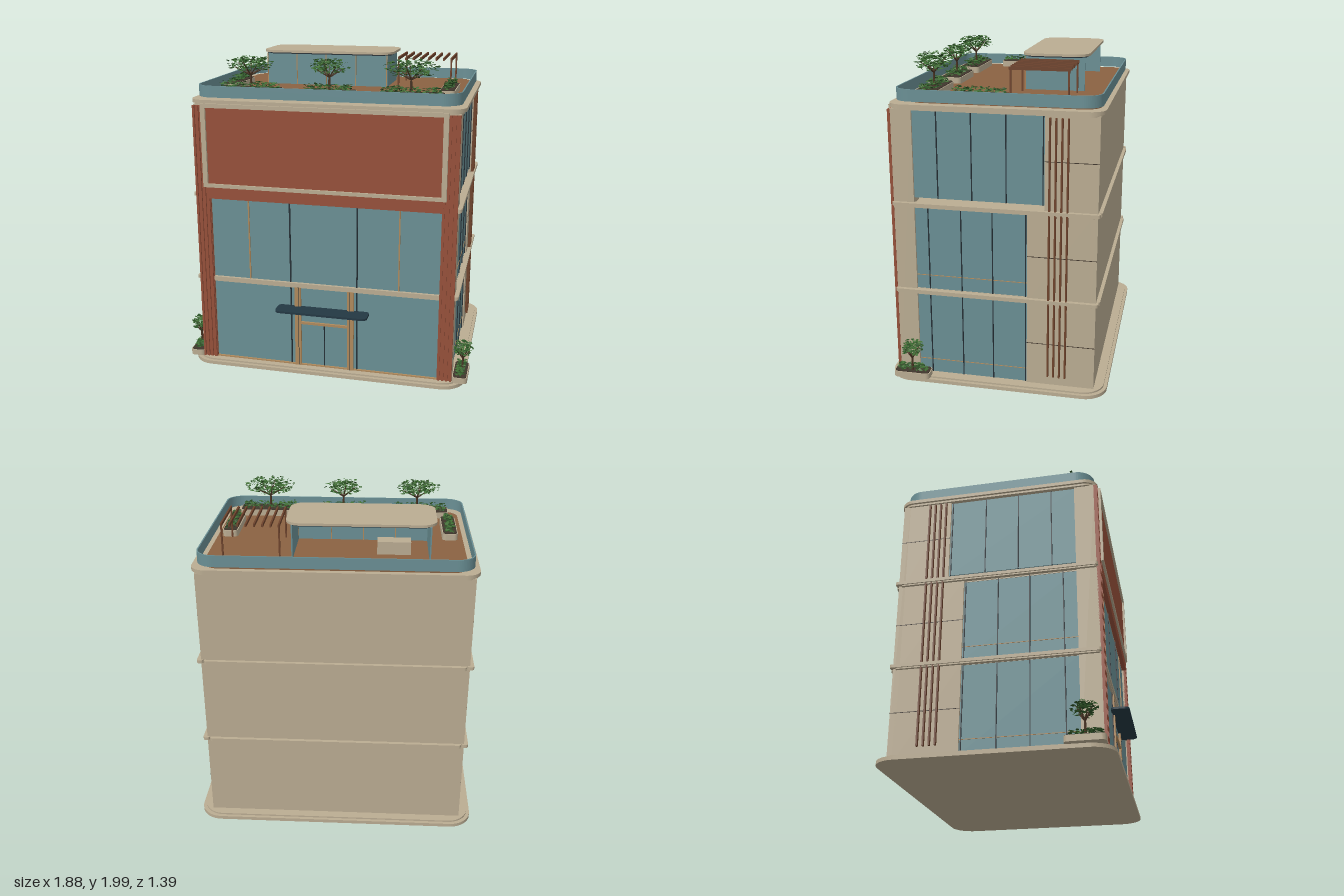
import * as THREE from 'three';
import { mergeGeometries } from 'three/addons/utils/BufferGeometryUtils.js';

const mat = (color, side = THREE.FrontSide) => new THREE.MeshStandardMaterial({ color, side });
const STONE = mat(0xbaac92), GLASS = mat(0x6a8f94), BRICK = mat(0x96503a), DECK = mat(0x8a6242);
const FIN = mat(0x6e432c), DARK = mat(0x263036), CANOPY = mat(0x233843), WOOD = mat(0xb08a5c);
const SOIL = mat(0x40362c), BARK = mat(0x4a3524);
const LEAF = [mat(0x2c5226, THREE.DoubleSide), mat(0x416f35, THREE.DoubleSide)];

let seed = 7;
const rand = () => (seed = (seed * 16807) % 2147483647) / 2147483647;

export function createModel() {
  const model = new THREE.Group();
  const add = (name, geo, material, parent = model) => {
    const mesh = new THREE.Mesh(geo, material);
    mesh.name = name;
    parent.add(mesh);
    return mesh;
  };
  // Box given by its limits
  const box = (name, m, x0, x1, y0, y1, z0, z1, parent) =>
    add(name, new THREE.BoxGeometry(x1 - x0, y1 - y0, z1 - z0)
      .translate((x0 + x1) / 2, (y0 + y1) / 2, (z0 + z1) / 2), m, parent);
  // Same box on both sides of the building
  const pair = (name, m, x0, x1, ...rest) => {
    box(name + 'Left', m, x0, x1, ...rest);
    box(name + 'Right', m, -x1, -x0, ...rest);
  };
  // Rounded rectangle in plan
  const outline = (C, x0, x1, z0, z1, r) => {
    const s = new C(), a = -z1, b = -z0, h = Math.PI / 2;
    s.absarc(x1 - r, a + r, r, -h, 0);
    s.absarc(x1 - r, b - r, r, 0, h);
    s.absarc(x0 + r, b - r, r, h, 2 * h);
    s.absarc(x0 + r, a + r, r, 2 * h, 3 * h);
    s.closePath();
    return s;
  };
  const slab = (name, m, x0, x1, y0, y1, z0, z1, r, wall = 0, parent = model) => {
    const s = outline(THREE.Shape, x0, x1, z0, z1, r);
    if (wall) s.holes.push(outline(THREE.Path, x0 + wall, x1 - wall, z0 + wall, z1 - wall, r - wall));
    const g = new THREE.ExtrudeGeometry(s, { depth: y1 - y0, bevelEnabled: false, curveSegments: 8 });
    return add(name, g.rotateX(-Math.PI / 2).translate(0, y0, 0), m, parent);
  };

  // Ground slab, floors and inner core
  slab('groundSlab', STONE, -0.885, 0.885, 0, 0.022, -0.695, 0.655, 0.14);
  slab('groundSlabStep', STONE, -0.865, 0.865, 0.022, 0.032, -0.675, 0.635, 0.13);
  box('firstFloor', STONE, -0.8, 0.8, 0.565, 0.595, -0.6, 0.585);
  box('secondFloor', STONE, -0.8, 0.8, 1.11, 1.135, -0.6, 0.585);
  box('core', STONE, -0.5, 0.5, 0.03, 1.7, -0.59, -0.15);

  // Walls and corner piers
  box('backWall', STONE, -0.81, 0.81, 0.03, 1.7, -0.62, -0.58);
  pair('frontPier', STONE, 0.72, 0.81, 0.03, 1.7, 0.47, 0.597);
  const floors = [
    { y0: 0.032, y1: 0.567, zEnd: -0.21, mull: [0.39, 0.19, 0, -0.2] },
    { y0: 0.595, y1: 1.115, zEnd: -0.21, mull: [0.39, 0.19, 0, -0.2] },
    { y0: 1.17, y1: 1.695, zEnd: -0.31, mull: [0.325, 0.12, -0.085, -0.3] },
  ];
  floors.forEach(({ y0, y1, zEnd, mull }, i) => {
    pair('rearPier', STONE, 0.77, 0.81, i === 2 ? 1.115 : y0 - 0.03, y1 + 0.005, -0.59, zEnd);
    pair('sideGlass', GLASS, 0.785, 0.797, y0, y1, zEnd, 0.47);
    for (const z of mull) pair('sideMullion', DARK, 0.79, 0.803, y0, y1, z - 0.003, z + 0.003);
    if (i < 2) pair('sideRail', WOOD, 0.79, 0.8, y0 + 0.085, y0 + 0.089, zEnd, 0.47);
    const mid = (y0 + y1) / 2;
    pair('wallJoint', SOIL, 0.808, 0.811, mid - 0.002, mid + 0.002, -0.62, zEnd);
  });

  // Projecting floor bands on the sides, front and back
  for (const y of [0.565, 1.115]) {
    for (const s of [1, -1]) {
      const x = s * 0.815;
      slab('sideBand', STONE, x - 0.02, x + 0.02, y + 0.008, y + 0.028, -0.635, 0.6, 0.015);
      slab('sideBandLower', STONE, x - 0.012, x + 0.012, y, y + 0.008, -0.6, 0.59, 0.01);
    }
    slab('backBand', STONE, -0.79, 0.79, y + 0.004, y + 0.026, -0.642, -0.6, 0.015);
  }
  box('frontBand', STONE, -0.72, 0.72, 0.572, 0.595, 0.57, 0.602);
  box('frontBandLower', STONE, -0.72, 0.72, 0.562, 0.572, 0.57, 0.595);

  // Front glazing
  box('groundFrontGlass', GLASS, -0.72, 0.72, 0.04, 0.565, 0.57, 0.583);
  box('upperFrontGlass', GLASS, -0.72, 0.72, 0.595, 1.115, 0.57, 0.583);
  box('frontSill', WOOD, -0.72, 0.72, 0.032, 0.04, 0.57, 0.595);
  for (const x of [-0.48, -0.215, 0.21, 0.47])
    box('upperMullion', Math.abs(x) > 0.4 ? WOOD : DARK, x - 0.004, x + 0.004, 0.595, 1.115, 0.575, 0.59);
  for (const x of [-0.215, 0.21]) box('groundMullion', DARK, x - 0.004, x + 0.004, 0.04, 0.565, 0.575, 0.59);

  // Entrance with doors and canopy
  pair('doorPost', WOOD, 0.15, 0.19, 0.032, 0.565, 0.57, 0.598);
  pair('doorPostInset', DARK, 0.164, 0.167, 0.032, 0.565, 0.59, 0.599);
  box('doorTransom', WOOD, -0.155, 0.155, 0.318, 0.333, 0.575, 0.597);
  box('doorMeeting', DARK, -0.003, 0.003, 0.032, 0.32, 0.58, 0.59);
  slab('canopy', CANOPY, -0.295, 0.29, 0.424, 0.437, 0.58, 0.695, 0.03);

  // Red corner columns with vertical ribs
  pair('cornerColumn', BRICK, 0.72, 0.81, 0.035, 1.695, 0.59, 0.602);
  for (let i = 0; i < 4; i++) {
    const x = 0.724 + i * 0.025;
    pair('cornerRib', BRICK, x, x + 0.013, 0.035, 1.695, 0.595, 0.612);
  }
  // Brown fins on the sides
  for (const z of [-0.34, -0.375, -0.41, -0.445])
    pair('sideFin', FIN, 0.805, 0.828, 0.09, 1.685, z - 0.005, z + 0.005);

  // Large front panel with raised frame
  box('frontPanel', BRICK, -0.73, 0.73, 1.115, 1.7, 0.57, 0.613);
  box('panelFrameTop', STONE, -0.755, 0.745, 1.685, 1.71, 0.59, 0.627);
  box('panelFrameBottom', STONE, -0.755, 0.745, 1.19, 1.212, 0.59, 0.627);
  box('panelFrameRight', STONE, -0.755, -0.725, 1.212, 1.685, 0.59, 0.627);
  box('panelFrameLeft', STONE, 0.715, 0.745, 1.212, 1.685, 0.59, 0.627);

  // Roof slab, deck and glass parapet
  slab('roofSlabLower', STONE, -0.822, 0.822, 1.695, 1.708, -0.63, 0.6, 0.07);
  slab('roofSlab', STONE, -0.836, 0.836, 1.708, 1.73, -0.645, 0.612, 0.09);
  slab('roofDeck', DECK, -0.77, 0.77, 1.73, 1.742, -0.61, 0.51, 0.1);
  slab('parapetGlass', GLASS, -0.807, 0.807, 1.742, 1.812, -0.622, 0.585, 0.11, 0.008);

  // Roof pavilion, open at the back
  const pavilion = new THREE.Group();
  pavilion.name = 'roofPavilion';
  model.add(pavilion);
  box('pavilionFront', GLASS, -0.555, 0.262, 1.74, 1.945, -0.1, -0.09, pavilion);
  for (const x of [-0.555, 0.254]) box('pavilionEnd', GLASS, x, x + 0.008, 1.74, 1.945, -0.455, -0.1, pavilion);
  for (const x of [-0.553, -0.35, -0.15, 0.05, 0.256])
    box('pavilionMullion', WOOD, x - 0.003, x + 0.003, 1.74, 1.945, -0.102, -0.087, pavilion);
  box('pavilionCounter', STONE, -0.44, -0.24, 1.742, 1.82, -0.36, -0.27, pavilion);
  slab('pavilionRoofEdge', DARK, -0.57, 0.28, 1.943, 1.951, -0.465, -0.08, 0.075, 0, pavilion);
  slab('pavilionRoof', STONE, -0.585, 0.295, 1.951, 1.966, -0.48, -0.067, 0.09, 0, pavilion);

  // Pergola
  for (let i = 0; i < 8; i++) {
    const x = 0.335 + i * 0.0485;
    box('pergolaSlat', FIN, x - 0.005, x + 0.005, 1.922, 1.94, -0.43, -0.075);
    if (i % 7 === 0) for (const z of [-0.42, -0.085])
      box('pergolaPost', FIN, x - 0.005, x + 0.005, 1.742, 1.924, z - 0.005, z + 0.005);
  }

  // Cloud of small pointed leaves, in a box or an ellipsoid
  const foliage = (name, cx, cy, cz, rx, ry, rz, count, round, parent) => {
    LEAF.forEach((m) => {
      const leaves = [];
      for (let i = 0; i < count; i++) {
        const p = new THREE.Vector3(rand() * 2 - 1, rand() * 2 - 1, rand() * 2 - 1);
        if (round) p.normalize().multiplyScalar(0.4 + 0.6 * rand());
        const g = new THREE.CircleGeometry(0.011 + rand() * 0.006, 4).scale(1, 0.55, 1);
        g.rotateX(-Math.PI / 2 + (rand() - 0.5) * 1.6).rotateY(rand() * 6.28);
        leaves.push(g.translate(cx + p.x * rx, cy + p.y * ry, cz + p.z * rz));
      }
      add(name, mergeGeometries(leaves), m, parent);
    });
  };
  const limb = (a, b, r0, r1, parent) => {
    const d = b.clone().sub(a);
    const mesh = add('branch', new THREE.CylinderGeometry(r1, r0, d.length(), 6), BARK, parent);
    mesh.position.copy(a).addScaledVector(d, 0.5);
    mesh.quaternion.setFromUnitVectors(new THREE.Vector3(0, 1, 0), d.normalize());
  };
  const tree = (x, y, z, top, rx, ry, rz, count, parent) => {
    const cy = top - ry, fork = new THREE.Vector3(x, y + (cy - y) * 0.55, z);
    limb(new THREE.Vector3(x, y, z), fork, 0.009, 0.006, parent);
    for (let i = 0; i < 7; i++) {
      const a = i * 0.9;
      limb(fork, new THREE.Vector3(x + Math.cos(a) * rx * 0.65, cy + (i % 3 - 1) * ry * 0.35,
        z + Math.sin(a) * rz * 0.65), 0.005, 0.002, parent);
    }
    foliage('crown', x, cy, z, rx, ry, rz, count, true, parent);
  };
  // Planter with soil and low plants
  const planter = (x0, x1, z0, z1, y, h) => {
    const g = new THREE.Group();
    g.name = 'planter';
    model.add(g);
    slab('planterTub', STONE, x0, x1, y, y + h, z0, z1, 0.025, 0, g);
    slab('planterSoil', SOIL, x0 + 0.006, x1 - 0.006, y + h, y + h + 0.004, z0 + 0.006, z1 - 0.006, 0.02, 0, g);
    const rx = (x1 - x0) / 2 - 0.022, rz = (z1 - z0) / 2 - 0.022;
    foliage('lowPlants', (x0 + x1) / 2, y + h + 0.021, (z0 + z1) / 2, rx, 0.018, rz,
      Math.round(50 + rx * rz * 9000), false, g);
    return g;
  };

  // Roof planting
  tree(-0.495, 1.78, 0.425, 1.985, 0.155, 0.052, 0.115, 190, planter(-0.705, -0.305, 0.355, 0.49, 1.742, 0.04));
  tree(0, 1.78, 0.425, 1.985, 0.13, 0.052, 0.09, 150, planter(-0.17, 0.16, 0.355, 0.49, 1.742, 0.04));
  tree(0.495, 1.78, 0.425, 1.993, 0.165, 0.058, 0.115, 200, planter(0.3, 0.695, 0.355, 0.49, 1.742, 0.04));
  for (const s of [-1, 1]) {
    planter(s * 0.69 - 0.048, s * 0.69 + 0.048, -0.085, 0.27, 1.742, 0.04);
    // Street planters at the front corners
    const g = planter(s * 0.86 - 0.047, s * 0.86 + 0.047, 0.385, 0.612, 0.03, 0.036);
    tree(s * 0.87, 0.066, 0.5, 0.27, 0.062, 0.05, 0.075, 90, g);
  }
  return model;
}
